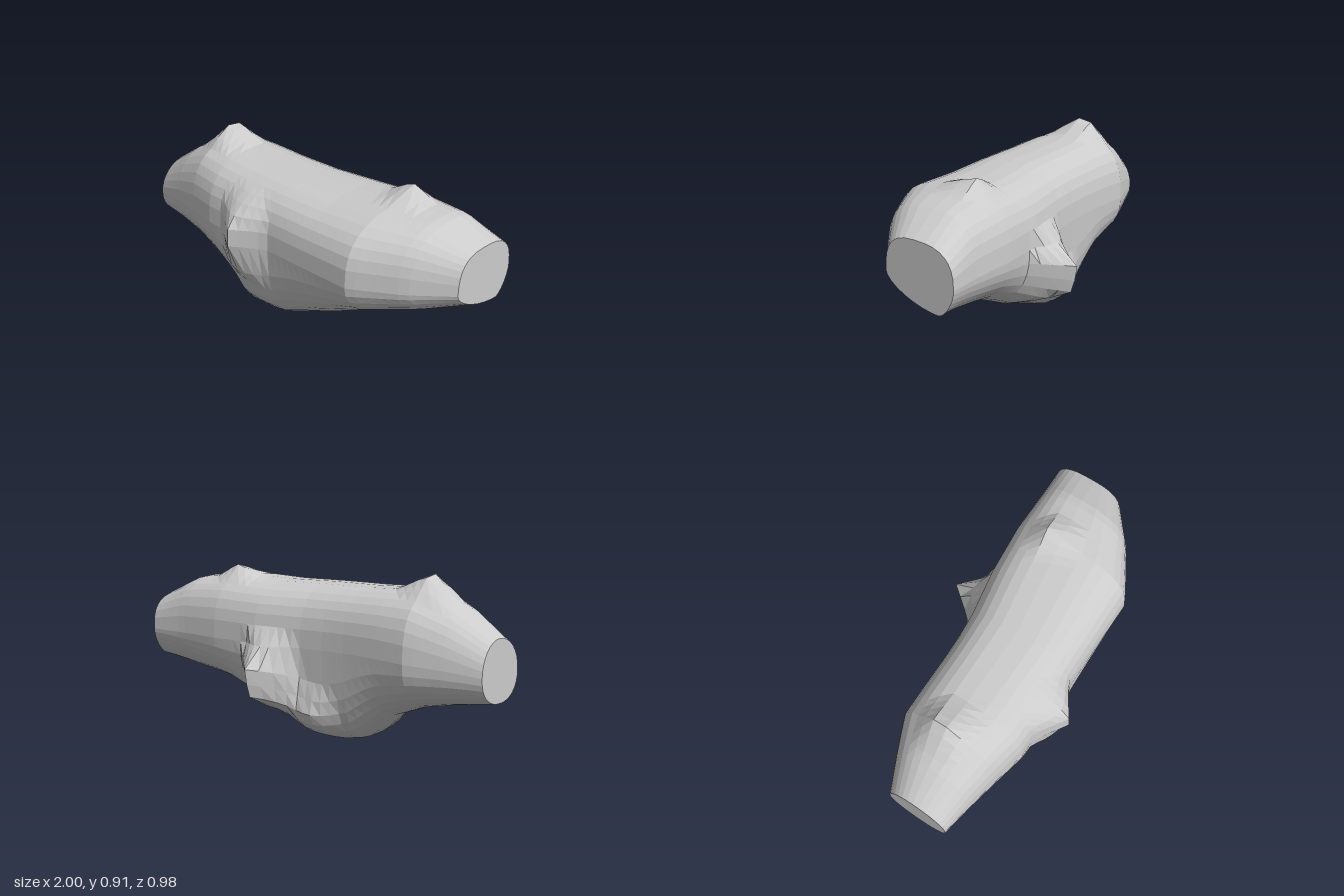
import * as THREE from 'three';

// Outline along the log: x, top, bottom, back, front
const OUTLINE = [
  [-1.00, 0.61, 0.28, -0.08, 0.27],
  [-0.82, 0.74, 0.26, -0.16, 0.305],
  [-0.64, 0.83, 0.23, -0.235, 0.345],
  [-0.45, 0.83, 0.16, -0.235, 0.385],
  [-0.28, 0.825, 0.02, -0.235, 0.385],
  [-0.15, 0.825, 0.00, -0.24, 0.385],
  [0.00, 0.825, 0.01, -0.255, 0.385],
  [0.27, 0.825, 0.11, -0.305, 0.385],
  [0.55, 0.84, 0.25, -0.33, 0.385],
  [0.80, 0.82, 0.31, -0.33, 0.235],
  [1.00, 0.72, 0.37, -0.345, 0.07],
];

// Branch stubs and burls: centre, blunt half-length and reach in x/y/z, and how far they push the bark out
const knob = (centre, blunt, reach, rise, out) => ({
  centre, blunt, reach, push: new THREE.Vector3(0, rise, out),
});
const KNOBS = [
  knob([-0.63, 0.83, 0.035], [0, 0, 0.045], [0.18, 0.3, 0.11], 0.08, 0),
  knob([0.545, 0.84, -0.10], [0, 0, 0.01], [0.15, 0.3, 0.11], 0.075, 0),
  knob([-0.185, 0.51, 0.385], [0, 0.09, 0], [0.18, 0.2, 0.35], 0, 0.115),
  knob([0.18, 0.33, -0.28], [0, 0.09, 0.05], [0.19, 0.14, 0.3], 0, -0.2),
  knob([-0.04, 0.14, -0.24], [0.04, 0.02, 0.03], [0.15, 0.15, 0.2], 0, -0.07),
  knob([-0.27, 0.05, 0.26], [0, 0, 0.03], [0.13, 0.12, 0.14], -0.01, 0.035),
];

const RINGS = 44;
const SIDES = 32;

// Blend the two nearest outline stations
function outlineAt(x) {
  let i = 0;
  while (i < OUTLINE.length - 2 && x > OUTLINE[i + 1][0]) i++;
  const a = OUTLINE[i], b = OUTLINE[i + 1];
  const t = (x - a[0]) / (b[0] - a[0]);
  return a.map((v, k) => THREE.MathUtils.lerp(v, b[k], t));
}

function barkPoint(x, angle) {
  const [, top, bottom, back, front] = outlineAt(x);
  const c = Math.cos(angle), s = Math.sin(angle);
  const upper = s >= 0;
  const toLeft = Math.max(0, x), toRight = Math.max(0, -x);
  const mid = 0.5 + 0.02 * toLeft - 0.07 * toRight ** 3;
  // Crown and belly lines drift backwards towards the left end
  const ridgeZ = upper
    ? 0.05 - 0.16 * toLeft + 0.03 * toRight ** 3
    : -0.25 * toLeft ** 2.5 + 0.1 * toRight ** 2;
  // The belly is squarer around the stump of the lower branch, and undercut at the left end
  const power = upper
    ? 0.73 + 0.25 * toRight ** 3
    : 0.9 + 0.35 * toLeft ** 2 - 0.27 * Math.exp(-(((x + 0.12) / 0.24) ** 2));
  const point = new THREE.Vector3(
    x,
    mid + ((upper ? top : bottom) - mid) * Math.abs(s) ** power,
    ridgeZ + ((c > 0 ? front : back) - ridgeZ) * Math.abs(c) ** power,
  );
  // Pull the surface out into knobs
  const moved = point.clone();
  for (const { centre, blunt, reach, push } of KNOBS) {
    const d = Math.hypot(...point.toArray().map(
      (v, k) => Math.max(0, Math.abs(v - centre[k]) - blunt[k]) / reach[k],
    ));
    if (d < 1) moved.addScaledVector(push, (1 - d) ** 1.15);
  }
  return moved;
}

function makeGeometry(points, index) {
  const geometry = new THREE.BufferGeometry().setFromPoints(points);
  geometry.setIndex(index);
  const flat = geometry.toNonIndexed();
  flat.computeVertexNormals();
  return flat;
}

function ringAt(x) {
  return Array.from({ length: SIDES }, (_, j) => barkPoint(x, (j / SIDES) * Math.PI * 2));
}

// Bark skin lofted from end to end
function barkGeometry() {
  const points = [], index = [];
  for (let i = 0; i <= RINGS; i++) points.push(...ringAt(-1 + (2 * i) / RINGS));
  for (let i = 0; i < RINGS; i++) {
    for (let j = 0; j < SIDES; j++) {
      const a = i * SIDES + j, b = i * SIDES + ((j + 1) % SIDES);
      index.push(a, a + SIDES, b, b, a + SIDES, b + SIDES);
    }
  }
  return makeGeometry(points, index);
}

// Flat sawn face closing one end
function cutGeometry(x) {
  const ring = ringAt(x);
  const centre = new THREE.Vector3();
  ring.forEach((p) => centre.addScaledVector(p, 1 / SIDES));
  const index = [];
  for (let j = 0; j < SIDES; j++) {
    const k = (j + 1) % SIDES;
    index.push(SIDES, ...(x > 0 ? [k, j] : [j, k]));
  }
  return makeGeometry([...ring, centre], index);
}

export function createModel() {
  const group = new THREE.Group();
  group.name = 'log';
  const material = new THREE.MeshStandardMaterial({ color: 0xcccccc, flatShading: true });
  const add = (name, geometry) => {
    const mesh = new THREE.Mesh(geometry, material);
    mesh.name = name;
    group.add(mesh);
  };
  add('bark', barkGeometry());
  add('leftCut', cutGeometry(1));
  add('rightCut', cutGeometry(-1));
  return group;
}
